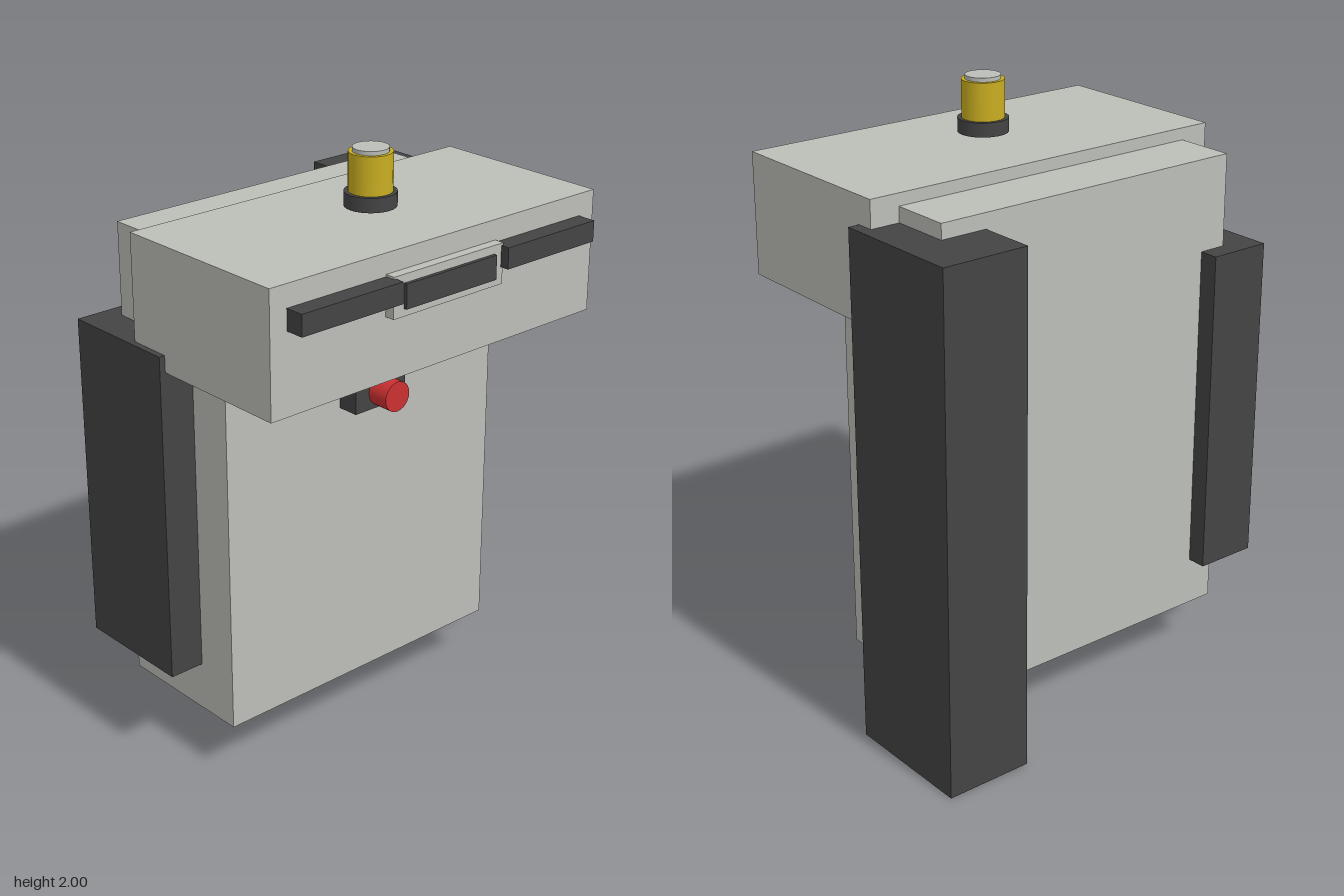
import * as THREE from 'three';

export function createModel() {
  const group = new THREE.Group();
  const material = (name, color) => {
    const m = new THREE.MeshStandardMaterial({ color });
    m.name = name;
    return m;
  };
  const grey = material('light grey', 0xbcbeb8);
  const dark = material('charcoal', 0x444444);
  const gold = material('gold', 0xc9ae22);
  const red = material('red', 0xcc3030);

  const add = (name, geometry, mat) => {
    const mesh = new THREE.Mesh(geometry, mat);
    mesh.name = name;
    group.add(mesh);
    return mesh;
  };
  // Box given by its extents along each axis
  const box = (name, mat, [x0, x1], [y0, y1], [z0, z1]) =>
    add(name, new THREE.BoxGeometry(x1 - x0, y1 - y0, z1 - z0), mat)
      .position.set((x0 + x1) / 2, (y0 + y1) / 2, (z0 + z1) / 2);

  // Main body and overhanging head
  box('body', grey, [-0.57, 0.55], [0.19, 1.76], [-0.355, 0.15]);
  box('head', grey, [-0.67, 0.65], [1.4, 1.8], [-0.152, 0.48]);

  // Rear side columns
  box('leftColumn', dark, [0.39, 0.687], [0, 1.71], [-0.545, -0.092]);
  box('rightColumn', dark, [-0.69, -0.475], [0.355, 1.455], [-0.42, -0.005]);

  // Front trim: two bars and a framed centre panel
  box('rightBar', dark, [-0.608, -0.226], [1.66, 1.728], [0.48, 0.543]);
  box('leftBar', dark, [0.205, 0.587], [1.66, 1.728], [0.48, 0.543]);
  box('panelFrame', grey, [-0.235, 0.213], [1.605, 1.735], [0.48, 0.513]);
  box('panel', dark, [-0.195, 0.175], [1.63, 1.708], [0.513, 0.525]);

  // Red button on its mount
  box('buttonMount', dark, [-0.115, 0.095], [1.173, 1.287], [0.15, 0.224]);
  const button = add('button', new THREE.CylinderGeometry(0.05, 0.05, 0.076, 24), red);
  button.rotation.x = Math.PI / 2;
  button.position.set(-0.01, 1.229, 0.262);

  // Knob stack hovering just above the head
  const disc = (name, mat, r, y0, y1) =>
    add(name, new THREE.CylinderGeometry(r, r, y1 - y0, 24), mat)
      .position.set(-0.01, (y0 + y1) / 2, 0.17);
  disc('knobBase', dark, 0.082, 1.818, 1.864);
  disc('knob', gold, 0.069, 1.864, 1.987);
  disc('knobCap', grey, 0.057, 1.987, 2);

  return group;
}
